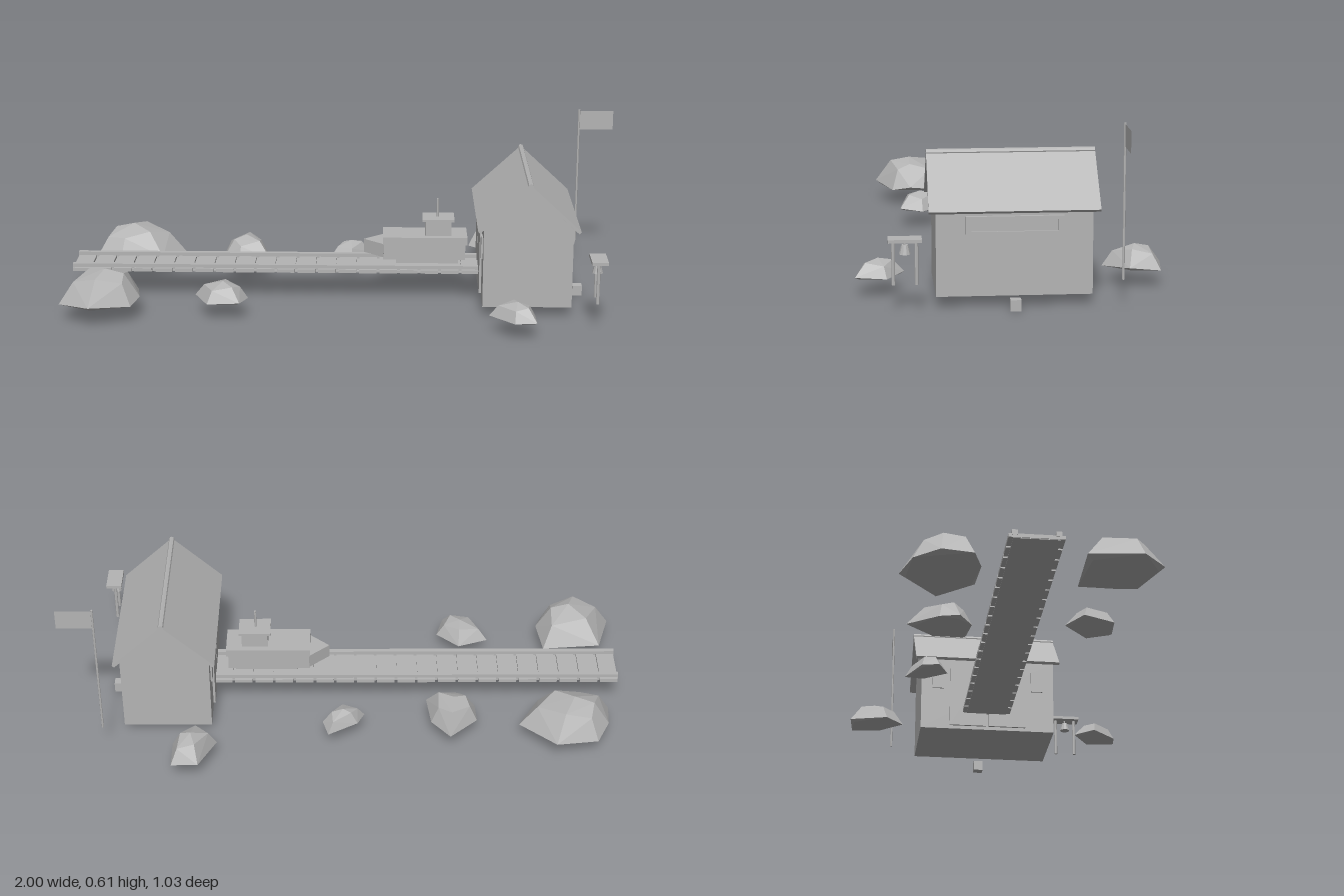
import * as THREE from 'three';
import { ConvexGeometry } from 'three/addons/geometries/ConvexGeometry.js';

export function createModel() {
  const model = new THREE.Group();
  model.name = 'boathouseSlipway';
  const grey = new THREE.MeshStandardMaterial({ color: 0xb4b4b4, flatShading: true, side: THREE.DoubleSide });
  grey.name = 'plain grey';

  const group = (name) => {
    const g = new THREE.Group();
    g.name = name;
    model.add(g);
    return g;
  };
  const add = (parent, name, geometry, x = 0, y = 0, z = 0) => {
    const mesh = new THREE.Mesh(geometry, grey);
    mesh.name = name;
    mesh.position.set(x, y, z);
    parent.add(mesh);
    return mesh;
  };
  // Box given by its minimum and maximum on each axis
  const box = (parent, name, x0, x1, y0, y1, z0, z1) =>
    add(parent, name, new THREE.BoxGeometry(x1 - x0, y1 - y0, z1 - z0),
      (x0 + x1) / 2, (y0 + y1) / 2, (z0 + z1) / 2);
  // Front outline pushed along z
  const prism = (parent, name, points, z0, z1) => {
    const shape = new THREE.Shape(points.map(([x, y]) => new THREE.Vector2(x, y)));
    return add(parent, name, new THREE.ExtrudeGeometry(shape, { depth: z1 - z0, bevelEnabled: false }), 0, 0, z0);
  };
  const rod = (parent, name, r, x, y0, y1, z) =>
    add(parent, name, new THREE.CylinderGeometry(r, r, y1 - y0, 8), x, (y0 + y1) / 2, z);

  // House with gabled walls and an overhanging roof
  const house = group('house');
  prism(house, 'walls', [[0.49, 0.037], [0.805, 0.037], [0.805, 0.323], [0.648, 0.478], [0.49, 0.323]], -0.26, 0.25);
  prism(house, 'roof', [[0.469, 0.322], [0.476, 0.314], [0.649, 0.476], [0.822, 0.314], [0.829, 0.322], [0.649, 0.489]],
    -0.283, 0.273);
  const ridge = add(house, 'ridgeCap', new THREE.CylinderGeometry(0.01, 0.01, 0.556, 8), 0.649, 0.485, -0.005);
  ridge.rotation.x = Math.PI / 2;

  // Long side window with a raised frame
  box(house, 'sideWindow', 0.805, 0.811, 0.25, 0.292, -0.146, 0.136);
  box(house, 'windowFrameTop', 0.805, 0.818, 0.292, 0.303, -0.165, 0.155);
  box(house, 'windowFrameBottom', 0.805, 0.818, 0.244, 0.253, -0.165, 0.155);
  for (const z of [-0.165, 0.136]) box(house, 'windowFrameSide', 0.805, 0.818, 0.244, 0.303, z, z + 0.019);

  // Doors and small windows on the slipway side
  for (const s of [-1, 1]) {
    const c = -0.005;
    box(house, 'doorLeaf', 0.482, 0.49, 0.05, 0.285, c + s * 0.075 - 0.07, c + s * 0.075 + 0.07);
    box(house, 'smallWindow', 0.484, 0.49, 0.2, 0.28, c + s * 0.19 - 0.022, c + s * 0.19 + 0.022);
  }

  // Slipway: cross planks with two rails
  const slipway = group('slipway');
  for (let i = 0; i < 20; i++) {
    const x = -0.988 + i * 0.0742;
    box(slipway, 'plank', x, x + 0.064, 0.102, 0.115, -0.1, 0.08);
  }
  for (const z of [-0.08, 0.06]) box(slipway, 'rail', -0.99, 0.49, 0.11, 0.128, z - 0.009, z + 0.009);
  box(slipway, 'bedPlate', -0.985, 0.49, 0.1, 0.106, -0.085, 0.065);

  // Boat resting on its cradle
  const boat = group('boat');
  box(boat, 'cradle', 0.185, 0.41, 0.126, 0.146, -0.05, 0.03);
  box(boat, 'hull', 0.137, 0.435, 0.145, 0.205, -0.068, 0.048);
  box(boat, 'deck', 0.137, 0.442, 0.203, 0.23, -0.075, 0.055);
  const bowShape = new THREE.Shape([[0.067, 0.01], [0.14, -0.055], [0.14, 0.075]].map((p) => new THREE.Vector2(...p)));
  const bow = add(boat, 'bow', new THREE.ExtrudeGeometry(bowShape, { depth: 0.05, bevelEnabled: false }), 0, 0.155, 0);
  bow.rotation.x = -Math.PI / 2;
  box(boat, 'cabin', 0.29, 0.385, 0.23, 0.285, -0.05, 0.03);
  box(boat, 'cabinRoof', 0.28, 0.395, 0.284, 0.292, -0.058, 0.036);
  rod(boat, 'mast', 0.004, 0.335, 0.29, 0.36, -0.01);

  // Bell hanging between two posts
  const bellStand = group('bellStand');
  for (const z of [0.315, 0.389]) rod(bellStand, 'post', 0.006, 0.88, 0.1, 0.245, z);
  box(bellStand, 'canopy', 0.855, 0.912, 0.243, 0.254, 0.298, 0.406);
  add(bellStand, 'bell', new THREE.CylinderGeometry(0.011, 0.019, 0.03, 10), 0.88, 0.216, 0.352);
  rod(bellStand, 'bellHanger', 0.003, 0.88, 0.23, 0.245, 0.352);

  // Step beside the house
  box(group('step'), 'stepBlock', 0.83, 0.865, 0, 0.037, -0.022, 0.013);

  // Flag on a pole
  const flag = group('flag');
  rod(flag, 'flagPole', 0.004, 0.87, 0.1, 0.612, -0.35);
  add(flag, 'flagCloth', new THREE.PlaneGeometry(0.125, 0.072), 0.935, 0.572, -0.35);

  // Rocks: ground outline as x, z pairs, a smaller upper ring and a peak
  const rocks = group('rocks');
  const rock = (top, outline) => {
    const base = 0.062, h = top - base, n = outline.length;
    const cx = outline.reduce((s, p) => s + p[0], 0) / n;
    const cz = outline.reduce((s, p) => s + p[1], 0) / n;
    const points = [new THREE.Vector3(cx, top, cz)];
    outline.forEach(([x, z], i) => {
      const k = i % 2 ? 0.55 : 0.68;
      points.push(new THREE.Vector3(x, base + (i % 2) * h * 0.12, z));
      points.push(new THREE.Vector3(cx + (x - cx) * 0.85, base, cz + (z - cz) * 0.85));
      points.push(new THREE.Vector3(cx + (x - cx) * k, base + h * (i % 2 ? 0.85 : 0.66), cz + (z - cz) * k));
    });
    add(rocks, 'rock', new ConvexGeometry(points));
  };
  rock(0.178, [[-0.945, -0.2], [-0.935, -0.305], [-0.89, -0.39], [-0.74, -0.425], [-0.615, -0.295], [-0.69, -0.175], [-0.85, -0.17]]);
  rock(0.18, [[-1, 0.33], [-0.95, 0.155], [-0.74, 0.155], [-0.72, 0.28], [-0.745, 0.35], [-0.885, 0.415]]);
  rock(0.147, [[-0.465, -0.27], [-0.365, -0.375], [-0.3, -0.28], [-0.285, -0.165], [-0.405, -0.155], [-0.46, -0.2]]);
  rock(0.127, [[-0.53, 0.21], [-0.42, 0.16], [-0.34, 0.245], [-0.365, 0.33], [-0.48, 0.32]]);
  rock(0.118, [[-0.06, -0.235], [-0.035, -0.295], [0.07, -0.35], [0.09, -0.285], [0.02, -0.2]]);
  rock(0.142, [[0.465, -0.39], [0.525, -0.525], [0.62, -0.515], [0.62, -0.41], [0.535, -0.325]]);
  rock(0.121, [[0.505, 0.41], [0.585, 0.345], [0.665, 0.405], [0.665, 0.51], [0.59, 0.5]]);

  return model;
}
